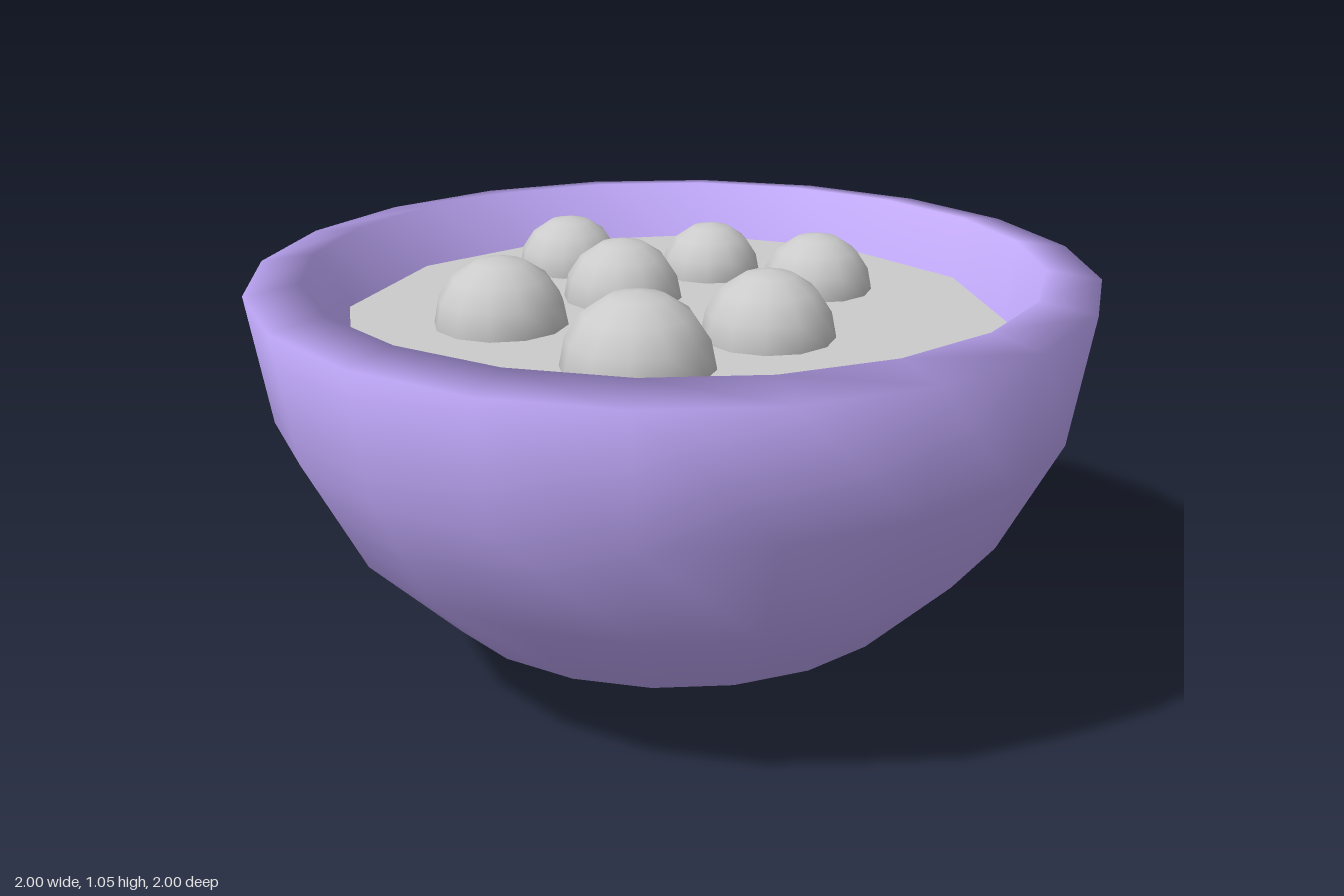
import * as THREE from 'three';

const RIM_Y = 0.99;      // height of the outer rim
const WALL = 0.13;       // bowl thickness
const SURFACE_Y = 0.88;  // level of the filling

function makeMesh(name, geometry, material) {
  const mesh = new THREE.Mesh(geometry, material);
  mesh.name = name;
  return mesh;
}

// Low-poly quarter circle from the bottom pole to the rim
function arc(radius, steps = 5) {
  const points = [];
  for (let i = 0; i <= steps; i++) {
    const a = (i / steps) * Math.PI / 2;
    points.push(new THREE.Vector2(radius * Math.sin(a), RIM_Y - radius * RIM_Y * Math.cos(a)));
  }
  points[0].x = 0;
  return points;
}

export function createModel() {
  const group = new THREE.Group();
  const purple = new THREE.MeshStandardMaterial({ color: 0xc4acff, side: THREE.DoubleSide });
  const grey = new THREE.MeshStandardMaterial({ color: 0xcccccc, side: THREE.DoubleSide });

  // Thick half-sphere bowl; the inner lip sits slightly higher than the outer one
  const inner = arc(1 - WALL);
  inner[inner.length - 1].y += 0.02;
  const profile = [...arc(1), ...inner.reverse()];
  group.add(makeMesh('bowl', new THREE.LatheGeometry(profile, 20), purple));

  // Flat twelve-sided filling
  const filling = makeMesh('filling', new THREE.CircleGeometry(0.79, 12), grey);
  filling.rotation.x = -Math.PI / 2;
  filling.position.y = SURFACE_Y;
  group.add(filling);

  // Balls half sunk in the filling: x, z, radius
  const balls = new THREE.Group();
  balls.name = 'balls';
  const layout = [
    [-0.31, -0.43, 0.132], [0.06, -0.41, 0.127], [0.335, -0.27, 0.139], [-0.14, -0.15, 0.146],
    [-0.4, 0.1, 0.16], [0.23, 0.15, 0.157], [-0.045, 0.41, 0.174],
  ];
  for (const [x, z, r] of layout) {
    const ball = makeMesh('ball', new THREE.SphereGeometry(r, 12, 8), grey);
    ball.position.set(x, SURFACE_Y, z);
    balls.add(ball);
  }
  group.add(balls);

  return group;
}
